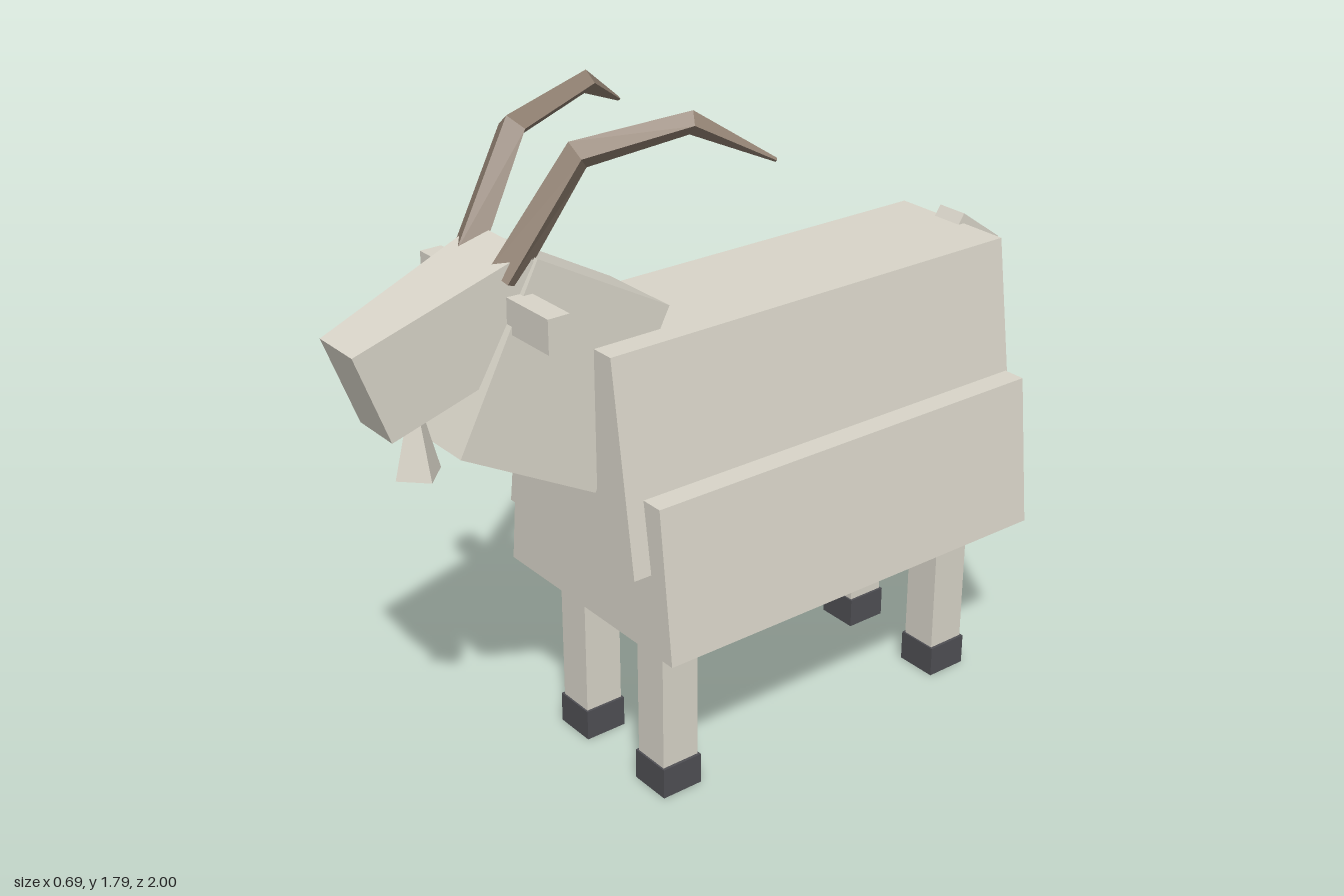
import * as THREE from 'three';

const material = (name, color) => {
  const m = new THREE.MeshStandardMaterial({ color });
  m.name = name;
  return m;
};

// Give every face its own flat normal
function faceted(geometry) {
  const flat = geometry.toNonIndexed();
  flat.computeVertexNormals();
  return flat;
}

// Move every vertex of a geometry by a rule
function reshape(geometry, rule) {
  const p = geometry.attributes.position;
  const v = new THREE.Vector3();
  for (let i = 0; i < p.count; i++) {
    rule(v.fromBufferAttribute(p, i));
    p.setXYZ(i, v.x, v.y, v.z);
  }
  return faceted(geometry);
}

// Box given by its limits on each axis
function block(x0, x1, y0, y1, z0, z1) {
  return new THREE.BoxGeometry(x1 - x0, y1 - y0, z1 - z0)
    .translate((x0 + x1) / 2, (y0 + y1) / 2, (z0 + z1) / 2);
}

// Long block whose sides lean inwards towards the top
function slopedBlock(wBottom, wTop, y0, y1, z0, z1) {
  return reshape(block(-1, 1, y0, y1, z0, z1), (v) => {
    v.x *= v.y > (y0 + y1) / 2 ? wTop : wBottom;
  });
}

// Block from its side outline: [z, y] of front-top, front-bottom, back-bottom, back-top
function profileBlock(corners, wFront, wBack) {
  const [ft, fb, bb, bt] = corners;
  return reshape(new THREE.BoxGeometry(2, 2, 2), (v) => {
    const front = v.z > 0;
    const c = front ? (v.y > 0 ? ft : fb) : (v.y > 0 ? bt : bb);
    v.set(v.x * (front ? wFront : wBack), c[1], c[0]);
  });
}

// Bent, tapering four-sided horn
function hornGeometry(side) {
  const path = [[0.08, 1.46, 0.615], [0.13, 1.725, 0.443], [0.205, 1.767, 0.185], [0.302, 1.671, 0.018]]
    .map(([x, y, z]) => new THREE.Vector3(side * x, y, z));
  const radii = [0.042, 0.037, 0.028, 0.005];
  const across = new THREE.Vector3(0.93, 0, side * 0.36).normalize();
  const frames = path.map((p, i) => {
    const t = new THREE.Vector3();
    if (i < 3) t.add(path[i + 1].clone().sub(p).normalize());
    if (i > 0) t.add(p.clone().sub(path[i - 1]).normalize());
    return new THREE.Vector3().crossVectors(across, t).normalize();
  });
  return reshape(new THREE.CylinderGeometry(1, 1, 1, 4, 3), (v) => {
    const i = Math.round((v.y + 0.5) * 3);
    const { x, z } = v;
    v.copy(path[i]).addScaledVector(across, x * radii[i]).addScaledVector(frames[i], z * radii[i]);
  });
}

export function createModel() {
  const coat = material('coat', 0xd9d5c9);
  const horn = material('horn', 0x8f7f70);
  const hoof = material('hoof', 0x4f4f54);

  const model = new THREE.Group();
  model.name = 'goat';
  const add = (name, geometry, mat = coat) => {
    const mesh = new THREE.Mesh(geometry, mat);
    mesh.name = name;
    model.add(mesh);
  };

  // Torso and the wider fleece hanging below it
  add('torso', slopedBlock(0.265, 0.185, 0.695, 1.247, -0.86, 0.405));
  add('fleece', slopedBlock(0.345, 0.3, 0.475, 0.885, -0.855, 0.355));

  // Neck, head and tail
  add('neck', profileBlock([[0.55, 1.503], [0.775, 1.075], [0.41, 0.875], [0.185, 1.3]], 0.12, 0.12));
  add('head', profileBlock([[1, 1.367], [0.917, 1.14], [0.482, 1.295], [0.565, 1.523]], 0.07, 0.11));
  add('tail', profileBlock([[-0.86, 1.275], [-0.81, 1.2], [-0.945, 1.105], [-0.997, 1.18]], 0.045, 0.045));

  // Beard
  add('beard', faceted(new THREE.CylinderGeometry(0.01, 0.06, 0.19, 4).translate(0, 1.1, 0.817)));

  // Paired parts
  for (const side of [1, -1]) {
    const label = side > 0 ? 'left' : 'right';
    const pair = (x0, x1) => (side > 0 ? [x0, x1] : [-x1, -x0]);
    add(label + 'Ear', block(...pair(0.08, 0.265), 1.34, 1.425, 0.567, 0.625));
    add(label + 'Horn', hornGeometry(side), horn);
    for (const [end, z] of [['Front', 0.235], ['Back', -0.705]]) {
      add(label + end + 'Leg', block(...pair(0.115, 0.22), 0.08, 0.5, z - 0.055, z + 0.055));
      add(label + end + 'Hoof', block(...pair(0.108, 0.228), 0, 0.086, z - 0.06, z + 0.06), hoof);
    }
  }
  return model;
}
